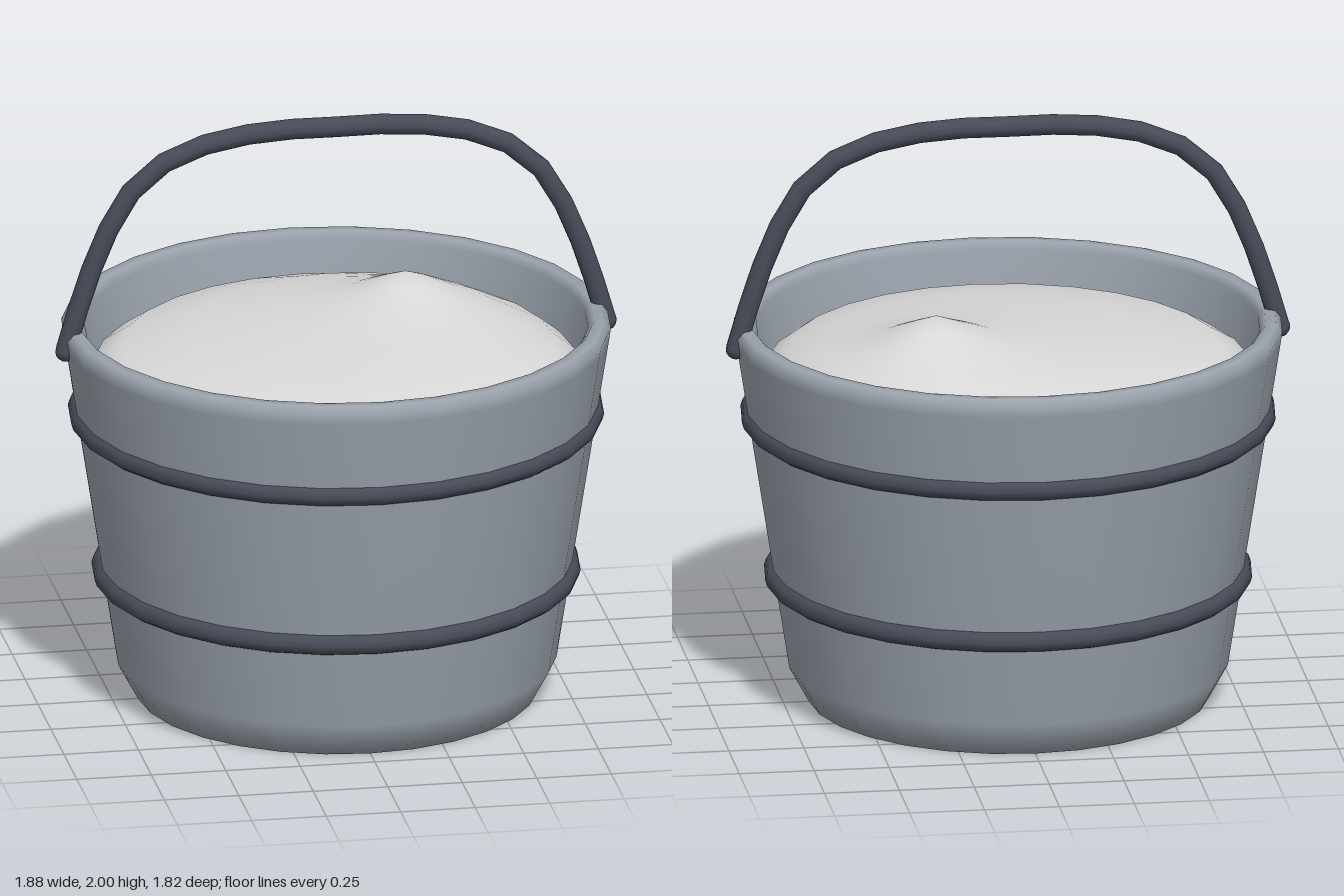
import * as THREE from 'three';
import { mergeVertices } from 'three/addons/utils/BufferGeometryUtils.js';

const SIDES = 28;

function material(name, color) {
  const m = new THREE.MeshStandardMaterial({ color });
  m.name = name;
  return m;
}

function lathe(points) {
  return new THREE.LatheGeometry(points.map(([r, y]) => new THREE.Vector2(r, y)), SIDES);
}

export function createModel() {
  const group = new THREE.Group();
  const stave = material('bucketGrey', 0x9aa2ac);
  const iron = material('darkIron', 0x474b58);
  const white = material('paleFill', 0xd8d8d8);

  function add(name, geometry, mat, parent = group) {
    const mesh = new THREE.Mesh(geometry, mat);
    mesh.name = name;
    parent.add(mesh);
    return mesh;
  }

  // Bucket: base, bevel, flared wall, rounded rim and inner wall
  add('bucket', lathe([
    [0, 0], [0.665, 0], [0.73, 0.12], [0.905, 1.24], [0.91, 1.275],
    [0.89, 1.3], [0.855, 1.3], [0.835, 1.275], [0.8, 1.05],
  ]), stave);

  // Heaped contents, rings drifting towards an off-centre peak
  const fill = lathe([
    [0.815, 1.1], [0.8, 1.14], [0.72, 1.195], [0.55, 1.235],
    [0.36, 1.265], [0.2, 1.3], [0.09, 1.345], [0, 1.38],
  ]);
  const pos = fill.attributes.position;
  for (let i = 0; i < pos.count; i++) {
    const r = Math.hypot(pos.getX(i), pos.getZ(i));
    const drift = 1 - THREE.MathUtils.smoothstep(r, 0.12, 0.8);
    pos.setX(i, pos.getX(i) + 0.265 * drift);
    pos.setZ(i, pos.getZ(i) - 0.185 * drift);
  }
  fill.deleteAttribute('uv');
  fill.deleteAttribute('normal');
  const heap = mergeVertices(fill);
  heap.computeVertexNormals();
  add('contents', heap, white);

  // Iron hoops around the wall
  for (const [name, radius, y] of [['lowerHoop', 0.775, 0.425], ['upperHoop', 0.853, 0.975]]) {
    const hoop = add(name, new THREE.TorusGeometry(radius, 0.035, 10, SIDES), iron);
    hoop.rotation.x = Math.PI / 2;
    hoop.position.y = y;
  }

  // Carrying handle, mirrored from one half
  const half = [[0.908, 1.233], [0.84, 1.46], [0.765, 1.65], [0.675, 1.795], [0.55, 1.89], [0.39, 1.942], [0.2, 1.965]];
  const path = [
    ...half.map(([x, y]) => new THREE.Vector3(-x, y, 0)),
    new THREE.Vector3(0, 1.966, 0),
    ...half.slice().reverse().map(([x, y]) => new THREE.Vector3(x, y, 0)),
  ];
  const handle = new THREE.Group();
  handle.name = 'handle';
  group.add(handle);
  add('handleBar', new THREE.TubeGeometry(new THREE.CatmullRomCurve3(path), 18, 0.034, 10), iron, handle);
  for (const side of [-1, 1]) {
    const end = add(side > 0 ? 'leftHandleEnd' : 'rightHandleEnd', new THREE.SphereGeometry(0.034, 10, 8), iron, handle);
    end.position.set(side * half[0][0], half[0][1], 0);
  }

  return group;
}
